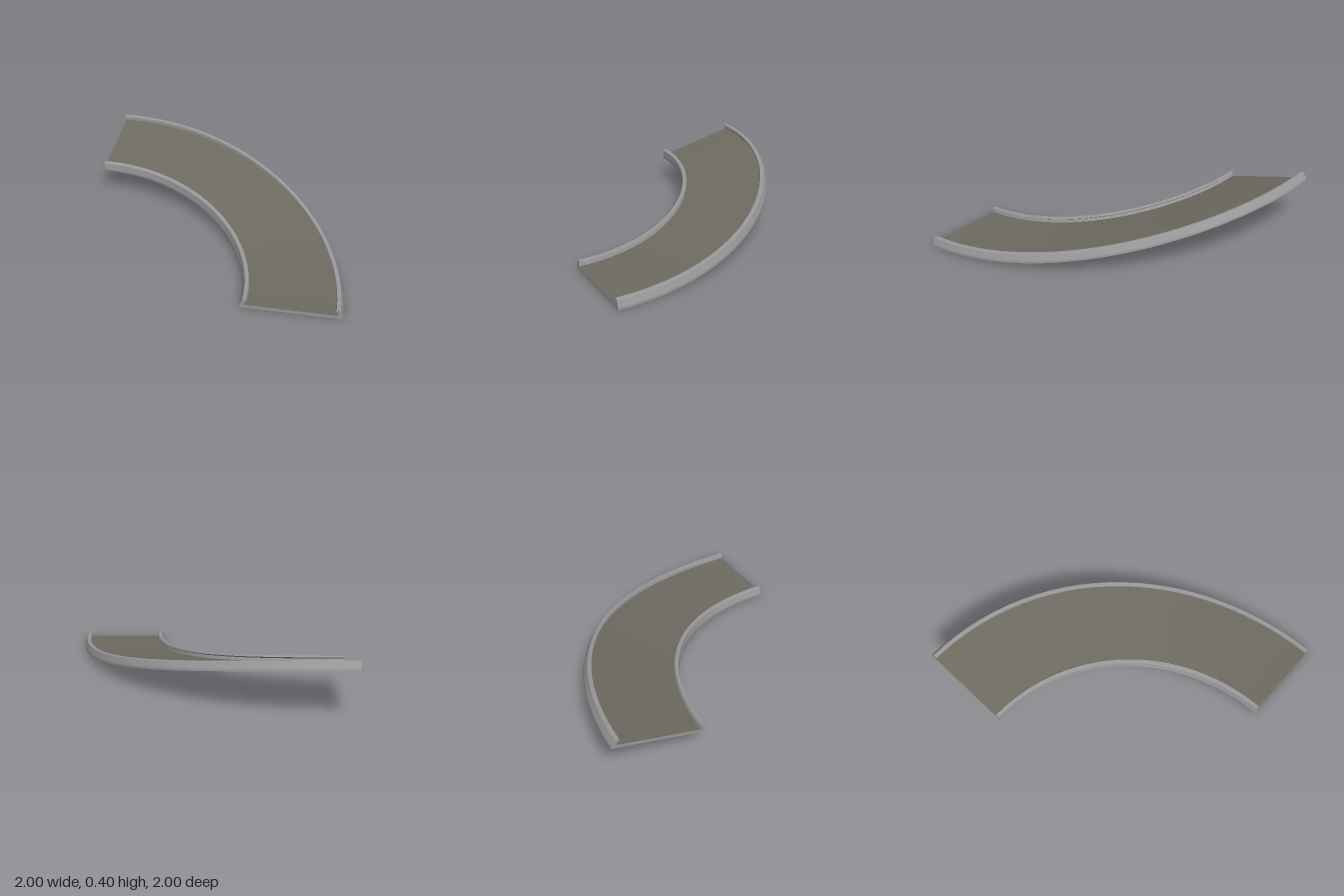
import * as THREE from 'three';

const INNER = 1.335, OUTER = 2, SEGMENTS = 28;
const INNER_RISE = 0.174, OUTER_RISE = 0.34;

// Quarter turn about (-1, 1) that climbs and banks smoothly; h is height above the underside
function place(r, h, t) {
  const a = t * Math.PI / 2, ease = Math.sin(a) ** 2;
  const slope = (OUTER_RISE - INNER_RISE) / (OUTER - INNER);
  const bank = Math.atan(slope * ease);
  const radius = r - h * Math.sin(bank);
  const y = ease * (INNER_RISE + slope * (r - INNER)) + h * Math.cos(bank);
  return [-1 + radius * Math.cos(a), y, 1 - radius * Math.sin(a)];
}

// Sweeps each profile edge as its own strip: smooth along the curve, sharp across it
function sweep(edges, capOutline) {
  const positions = [], index = [];
  for (const [p, q] of edges) {
    const base = positions.length / 3;
    for (let i = 0; i <= SEGMENTS; i++) {
      const t = i / SEGMENTS;
      positions.push(...place(p[0], p[1], t), ...place(q[0], q[1], t));
      if (i === SEGMENTS) continue;
      const k = base + i * 2;
      index.push(k, k + 2, k + 1, k + 1, k + 2, k + 3);
    }
  }
  // Flat end caps
  if (capOutline) {
    const points = capOutline.map(([r, h]) => new THREE.Vector2(r, h));
    const faces = THREE.ShapeUtils.triangulateShape(points, []);
    for (const t of [0, 1]) {
      const base = positions.length / 3;
      for (const [r, h] of capOutline) positions.push(...place(r, h, t));
      for (const [a, b, c] of faces) {
        if (t === 0) index.push(base + a, base + b, base + c);
        else index.push(base + a, base + c, base + b);
      }
    }
  }
  const geometry = new THREE.BufferGeometry();
  geometry.setAttribute('position', new THREE.Float32BufferAttribute(positions, 3));
  geometry.setIndex(index);
  geometry.computeVertexNormals();
  return geometry;
}

export function createModel() {
  const group = new THREE.Group();
  group.name = 'bankedTrackCurve';

  const concrete = new THREE.MeshStandardMaterial({ color: 0x999999 });
  concrete.name = 'concreteGrey';
  const asphalt = new THREE.MeshStandardMaterial({ color: 0x6e6b61 });
  asphalt.name = 'asphaltOlive';

  // Guard rail outline: distance in from the track edge, and height
  const rail = [[0, 0], [0, 0.015], [0.016, 0.062], [0.022, 0.066], [0.043, 0.066],
    [0.048, 0.054], [0.032, 0.045], [0.036, 0.022]];
  const outerRail = rail.map(([d, h]) => [OUTER - d, h]);
  const innerRail = rail.map(([d, h]) => [INNER + d, h]).reverse();
  const outline = [...outerRail, ...innerRail];

  // Deck and both rails in one body, leaving the driving surface open
  const edges = outline.map((p, i) => [p, outline[(i + 1) % outline.length]]);
  const surfaceEdge = edges.splice(outerRail.length - 1, 1);
  const body = new THREE.Mesh(sweep(edges, outline), concrete);
  body.name = 'deckAndGuardRails';

  // Driving surface
  const road = new THREE.Mesh(sweep(surfaceEdge), asphalt);
  road.name = 'roadSurface';

  group.add(body, road);
  return group;
}
